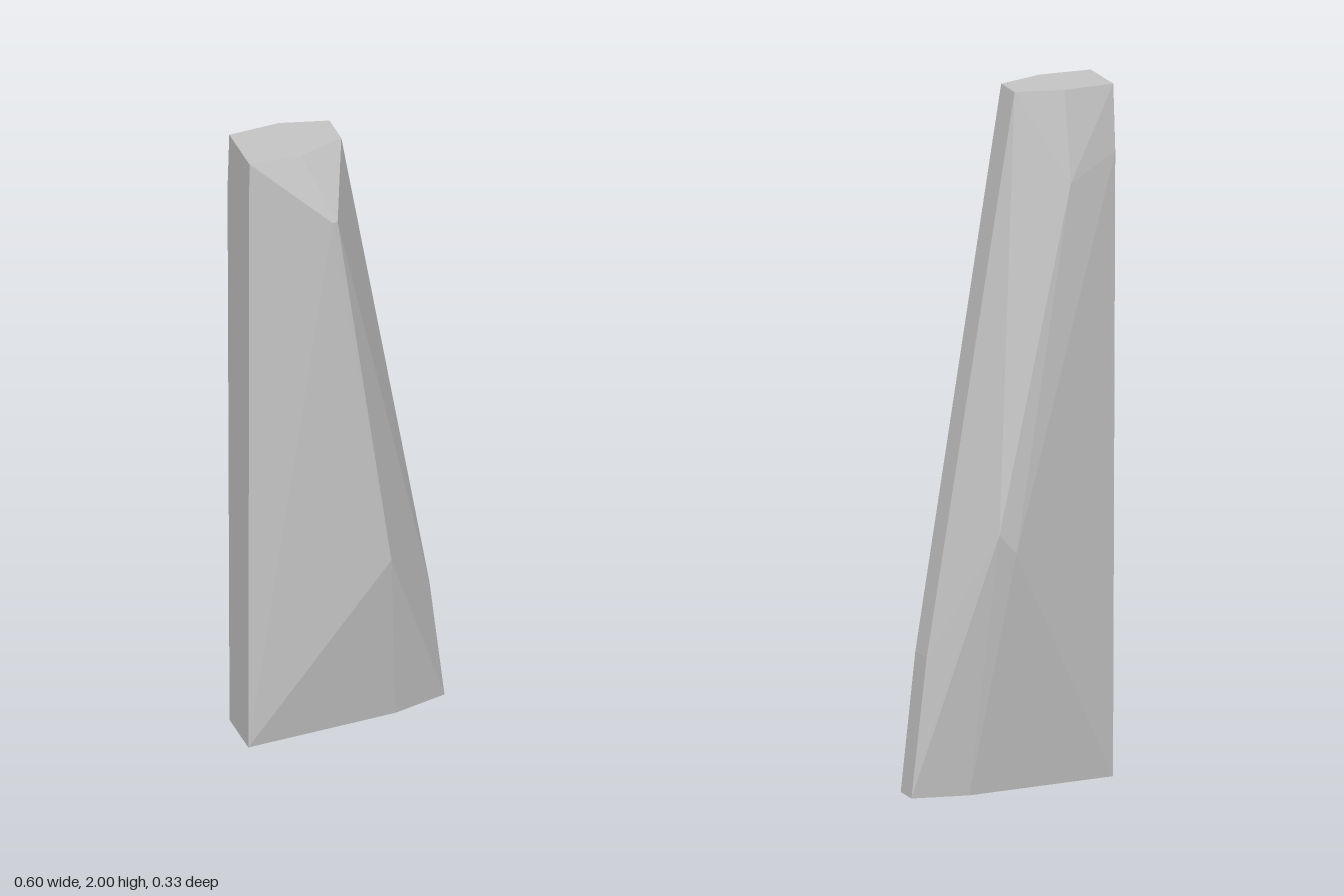
import * as THREE from 'three';
import { ConvexGeometry } from 'three/addons/geometries/ConvexGeometry.js';

export function createModel() {
  const stone = new THREE.MeshStandardMaterial({ color: 0xc5c5c5 });
  stone.name = 'lightGreyStone';

  // Corners of the faceted shard, level by level
  const corners = [
    // base outline
    [-0.298, 0, 0.07], [0.14, 0, 0.07], [0.298, 0, 0.04],
    [0.298, 0, -0.03], [0.14, 0, -0.07], [-0.298, 0, -0.07],
    // bend of the narrow sloping side
    [0.252, 0.4, 0.043], [0.252, 0.4, -0.031],
    // front ridge
    [0.09, 0.6, 0.165], [-0.07, 1.8, 0.165], [-0.085, 1.8, 0.164],
    // back bulge
    [0.092, 0.77, -0.165], [0.04, 0.71, -0.165],
    // upper back bevel
    [-0.15, 1.74, -0.111], [-0.298, 1.81, -0.085],
    // top outline
    [-0.298, 2, 0.077], [-0.15, 2, 0.092], [-0.016, 2, 0.057],
    [-0.016, 2, -0.031], [-0.15, 2, -0.072], [-0.298, 2, -0.072],
  ].map((p) => new THREE.Vector3(...p));

  const shard = new THREE.Mesh(new ConvexGeometry(corners), stone);
  shard.name = 'stoneShard';

  const group = new THREE.Group();
  group.name = 'standingStone';
  group.add(shard);
  return group;
}
